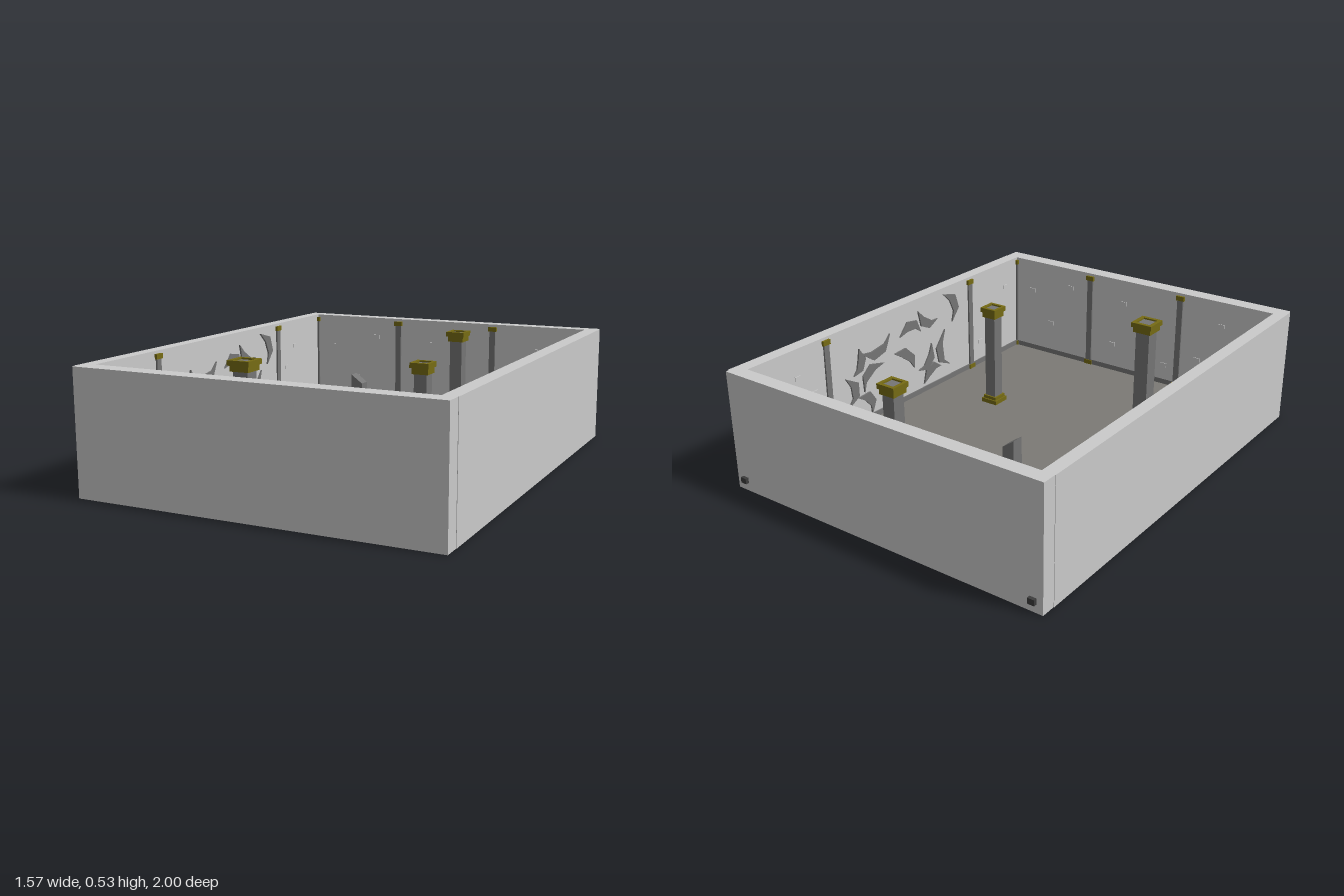
import * as THREE from 'three';

const mat = (name, color, side = THREE.FrontSide) => {
  const m = new THREE.MeshStandardMaterial({ color, side });
  m.name = name;
  return m;
};

export function createModel() {
  const wallMat = mat('pale stone', 0xcacaca);
  const floorMat = mat('floor stone', 0x7c7a75);
  const pillarMat = mat('grey stone', 0x757575);
  const brassMat = mat('old brass', 0x766b14);
  const darkMat = mat('dark iron', 0x3c3c3c);

  const root = new THREE.Group();
  root.name = 'walledRoom';

  const H = 0.53, F = 0.04;                        // wall height, floor level
  const X0 = -0.73, X1 = 0.725, Z0 = -0.92, Z1 = 0.925; // inside faces

  // box given by its minimum and maximum corners
  const box = (name, m, a, b, parent = root) => {
    const g = new THREE.BoxGeometry(b[0] - a[0], b[1] - a[1], b[2] - a[2]);
    const mesh = new THREE.Mesh(g, m);
    mesh.position.set((a[0] + b[0]) / 2, (a[1] + b[1]) / 2, (a[2] + b[2]) / 2);
    mesh.name = name;
    parent.add(mesh);
    return mesh;
  };

  // square frame lying flat, with an open middle
  const frame = (name, outer, inner, y, h, parent) => {
    const s = new THREE.Shape();
    const square = (p, r) => p.moveTo(-r, -r).lineTo(r, -r).lineTo(r, r).lineTo(-r, r).closePath();
    square(s, outer);
    const hole = new THREE.Path();
    square(hole, inner);
    s.holes.push(hole);
    const g = new THREE.ExtrudeGeometry(s, { depth: h, bevelEnabled: false });
    g.rotateX(-Math.PI / 2);
    const mesh = new THREE.Mesh(g, brassMat);
    mesh.position.y = y;
    mesh.name = name;
    parent.add(mesh);
  };

  // outer walls and the raised floor slab
  box('frontWall', wallMat, [-0.78, 0, Z1], [0.785, H, 1]);
  box('backWall', wallMat, [-0.785, 0, -0.985], [0.78, H, Z0]);
  box('rightWall', wallMat, [-0.787, 0, Z0], [X0, H, 0.985]);
  box('leftWall', wallMat, [X1, 0, -0.97], [0.787, H, Z1]);
  box('floor', floorMat, [X0, 0.03, Z0], [X1, F, Z1]);

  // skirting along the foot of each wall
  const t = 0.006, sk = F + 0.025;
  box('backSkirting', pillarMat, [X0, F, Z0], [X1, sk, Z0 + t]);
  box('frontSkirting', pillarMat, [X0, F, Z1 - t], [X1, sk, Z1]);
  box('rightSkirting', pillarMat, [X0, F, Z0], [X0 + t, sk, Z1]);
  box('leftSkirting', pillarMat, [X1 - t, F, Z0], [X1, sk, Z1]);

  // shallow posts on the walls with brass ends; (nx, nz) points into the room
  const pilaster = (x, z, nx, nz) => {
    const g = new THREE.Group();
    g.name = 'wallPost';
    g.position.set(x, 0, z);
    g.rotation.y = Math.atan2(nx, nz);
    root.add(g);
    box('shaft', pillarMat, [-0.015, F, 0], [0.015, 0.515, 0.008], g);
    for (const [y, h] of [[F, 0.022], [0.495, 0.022]])
      box('brassEnd', brassMat, [-0.021, y, 0], [0.021, y + h, 0.012], g);
  };
  for (const x of [-0.255, 0.26]) {
    pilaster(x, Z0, 0, 1);
    pilaster(x, Z1, 0, -1);
  }
  for (const z of [-0.485, 0.52]) {
    pilaster(X0, z, 1, 0);
    pilaster(X1, z, -1, 0);
  }

  // square posts in the corners
  for (const x of [X0, X1]) for (const z of [Z0, Z1]) {
    const sx = x < 0 ? 1 : -1, sz = z < 0 ? 1 : -1;
    const corner = (name, m, w, y0, y1) => box(name, m,
      [Math.min(x, x + sx * w), y0, Math.min(z, z + sz * w)],
      [Math.max(x, x + sx * w), y1, Math.max(z, z + sz * w)]);
    corner('cornerPost', pillarMat, 0.009, F, 0.515);
    corner('cornerEnd', brassMat, 0.013, F, F + 0.022);
    corner('cornerEnd', brassMat, 0.013, 0.495, 0.517);
  }

  // free-standing pillars; the broken one has a sloping top and no capital
  const pillar = (x, z, r, broken) => {
    const g = new THREE.Group();
    g.name = broken ? 'brokenPillar' : 'pillar';
    g.position.set(x, 0, z);
    root.add(g);
    const w = r * 0.66;
    const shaft = box('shaft', pillarMat, [-w, F, -w], [w, broken ? 0.3 : 0.515, w], g);
    frame('baseFoot', r, w, F, 0.02, g);
    frame('baseStep', r * 0.85, w, F + 0.02, 0.015, g);
    if (broken) {
      const p = shaft.geometry.attributes.position;
      for (let i = 0; i < p.count; i++)
        if (p.getY(i) > 0) p.setY(i, p.getY(i) + (p.getX(i) < 0 ? 0.015 : -0.025));
      shaft.geometry.computeVertexNormals();
      return;
    }
    frame('capitalStep', r * 0.85, w, 0.475, 0.025, g);
    frame('capitalTop', r, w, 0.5, 0.022, g);
  };
  pillar(0.175, -0.66, 0.045);
  pillar(-0.25, -0.44, 0.042, true);
  pillar(0.38, 0.265, 0.042);
  pillar(-0.3, 0.52, 0.052);

  // thin curved shards on the side walls: [along, height, length, turn, bend]
  const shards = [
    [-0.34, 0.42, 0.17, 1.2, 0.05], [-0.19, 0.43, 0.16, 0.5, -0.04],
    [-0.06, 0.37, 0.15, 0.1, 0.04], [0.18, 0.40, 0.20, -0.2, -0.05],
    [0.31, 0.35, 0.13, 1.9, 0.03], [-0.33, 0.22, 0.20, 1.4, -0.06],
    [-0.16, 0.22, 0.15, 2.3, 0.04], [-0.01, 0.25, 0.18, 0.7, 0.03],
    [0.20, 0.24, 0.17, 2.5, -0.05], [0.38, 0.22, 0.15, 1.5, 0.05],
    [0.06, 0.13, 0.16, 0.2, -0.03], [0.27, 0.12, 0.14, 0.9, 0.04],
    [-0.21, 0.11, 0.14, -0.4, 0.03],
  ];
  const shardPanel = (x, turn) => {
    const panel = new THREE.Group();
    panel.name = 'shardRelief';
    panel.position.set(x, 0, 0);
    panel.rotation.y = turn;
    root.add(panel);
    for (const [u, y, len, a, bend] of shards) {
      const h = len / 2, s = new THREE.Shape();
      s.moveTo(-h, 0).lineTo(-h * 0.3, bend - 0.022).lineTo(h * 0.5, bend - 0.018).lineTo(h, 0);
      s.lineTo(h * 0.55, bend + 0.022).lineTo(-h * 0.35, bend + 0.026).closePath();
      const g = new THREE.ExtrudeGeometry(s, { depth: 0.008, bevelEnabled: false });
      const m = new THREE.Mesh(g, pillarMat);
      m.position.set(-u, y, 0);
      m.rotation.z = -a;
      m.name = 'shard';
      panel.add(m);
    }
  };
  shardPanel(X0, Math.PI / 2);
  shardPanel(X1, -Math.PI / 2);

  // small raised stones scattered on the walls
  const spots = [[-0.62, 0.36], [-0.5, 0.2], [-0.38, 0.42], [-0.12, 0.17], [-0.06, 0.4],
    [0.1, 0.28], [0.18, 0.13], [0.36, 0.2], [0.48, 0.4], [0.6, 0.27]];
  for (const [u, y] of spots) {
    box('raisedStone', wallMat, [u - 0.016, y, Z0], [u + 0.016, y + 0.02, Z0 + 0.004]);
    box('raisedStone', wallMat, [-u - 0.016, y, Z1 - 0.004], [-u + 0.016, y + 0.02, Z1]);
  }
  for (const z of [-0.8, -0.66, -0.57, 0.6, 0.7, 0.82]) {
    const y = 0.25 + 0.14 * Math.sin(z * 17);
    box('raisedStone', wallMat, [X0, y, z - 0.016], [X0 + 0.004, y + 0.02, z + 0.016]);
    box('raisedStone', wallMat, [X1 - 0.004, y, z - 0.016], [X1, y + 0.02, z + 0.016]);
  }

  // two small iron sockets low on the back
  for (const x of [-0.742, 0.733]) {
    box('socket', darkMat, [x - 0.015, 0.037, -1], [x + 0.015, 0.062, -0.985]);
  }

  return root;
}
